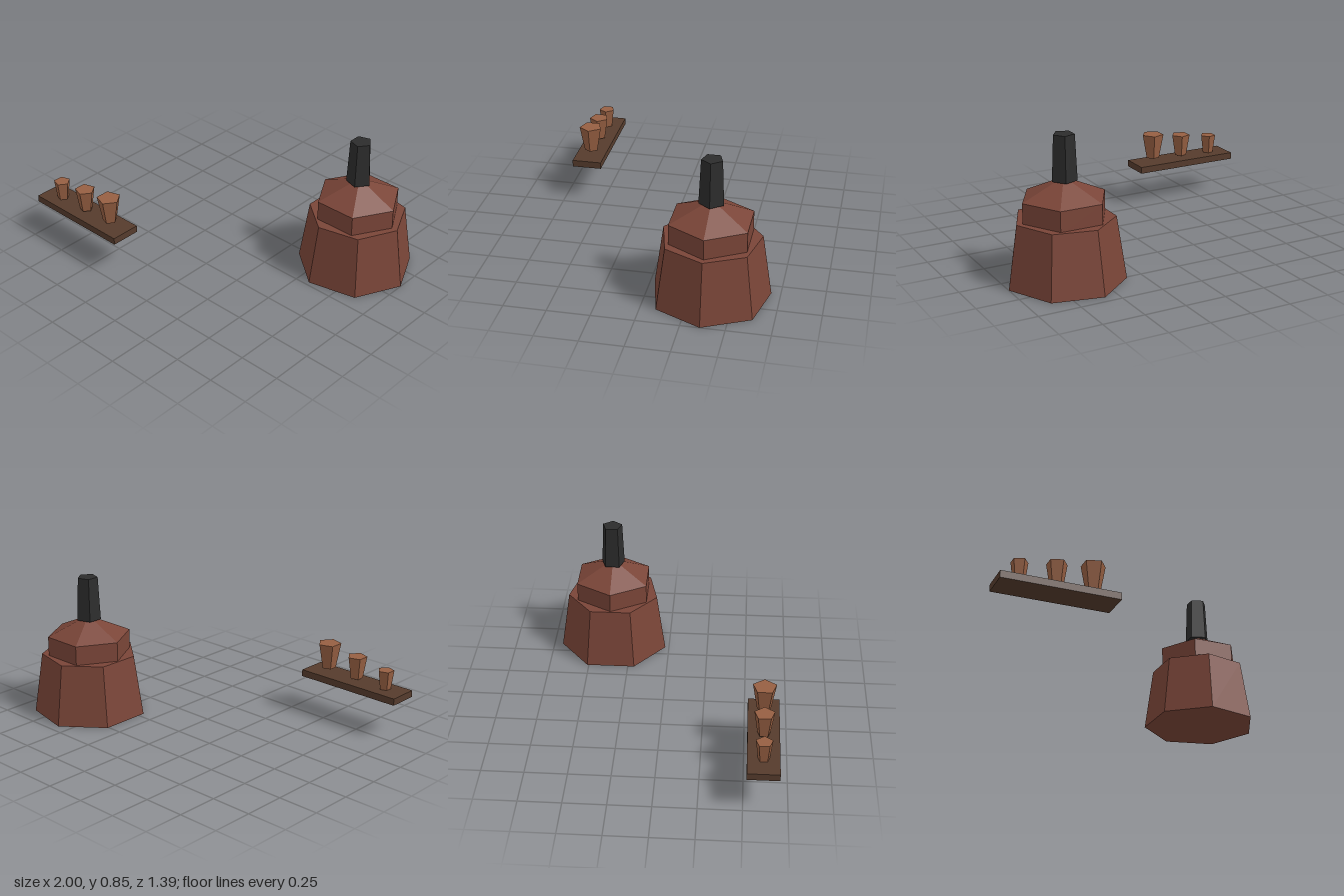
import * as THREE from 'three';

const material = (name, color) => {
  const m = new THREE.MeshStandardMaterial({ color, flatShading: true });
  m.name = name;
  return m;
};

export function createModel() {
  const brick = material('fired brick', 0x7a4538);
  const soot = material('soot black', 0x2c2c2c);
  const wood = material('dark wood', 0x553b2c);
  const clay = material('clay', 0x965f42);

  // Tapered prism with one corner pointing to +x
  const prism = (name, sides, rTop, rBottom, y0, y1, mat, x = 0, z = 0) => {
    const geometry = new THREE.CylinderGeometry(rTop, rBottom, y1 - y0, sides);
    geometry.rotateY(Math.PI / 2);
    const mesh = new THREE.Mesh(geometry, mat);
    mesh.name = name;
    mesh.position.set(x, (y0 + y1) / 2, z);
    return mesh;
  };

  // Kiln: seven-sided body, six-sided drum and roof, five-sided chimney
  const kiln = new THREE.Group();
  kiln.name = 'kiln';
  kiln.position.set(0.655, 0, -0.36);
  kiln.add(
    prism('kilnBody', 7, 0.289, 0.345, 0, 0.372, brick),
    prism('kilnDrum', 6, 0.252, 0.252, 0.36, 0.49, brick),
    prism('kilnRoof', 6, 0, 0.252, 0.49, 0.605, brick),
    prism('chimney', 5, 0.0625, 0.0745, 0.585, 0.85, soot, -0.003)
  );

  // Shelf with three pots growing in size
  const shelf = new THREE.Group();
  shelf.name = 'potShelf';
  shelf.position.z = 0.606;
  const board = new THREE.Mesh(new THREE.BoxGeometry(0.686, 0.042, 0.183), wood);
  board.name = 'shelfBoard';
  board.position.set(-0.657, 0.241, 0);
  shelf.add(board);
  [
    [-0.869, 0.05, 0.035, 0.265, 0.382],
    [-0.657, 0.061, 0.039, 0.277, 0.414],
    [-0.446, 0.072, 0.043, 0.289, 0.446],
  ].forEach(([x, rTop, rBottom, y0, y1], i) =>
    shelf.add(prism(`pot${i + 1}`, 5, rTop, rBottom, y0, y1, clay, x)));

  const model = new THREE.Group();
  model.name = 'potteryKilnSet';
  model.add(kiln, shelf);
  return model;
}
